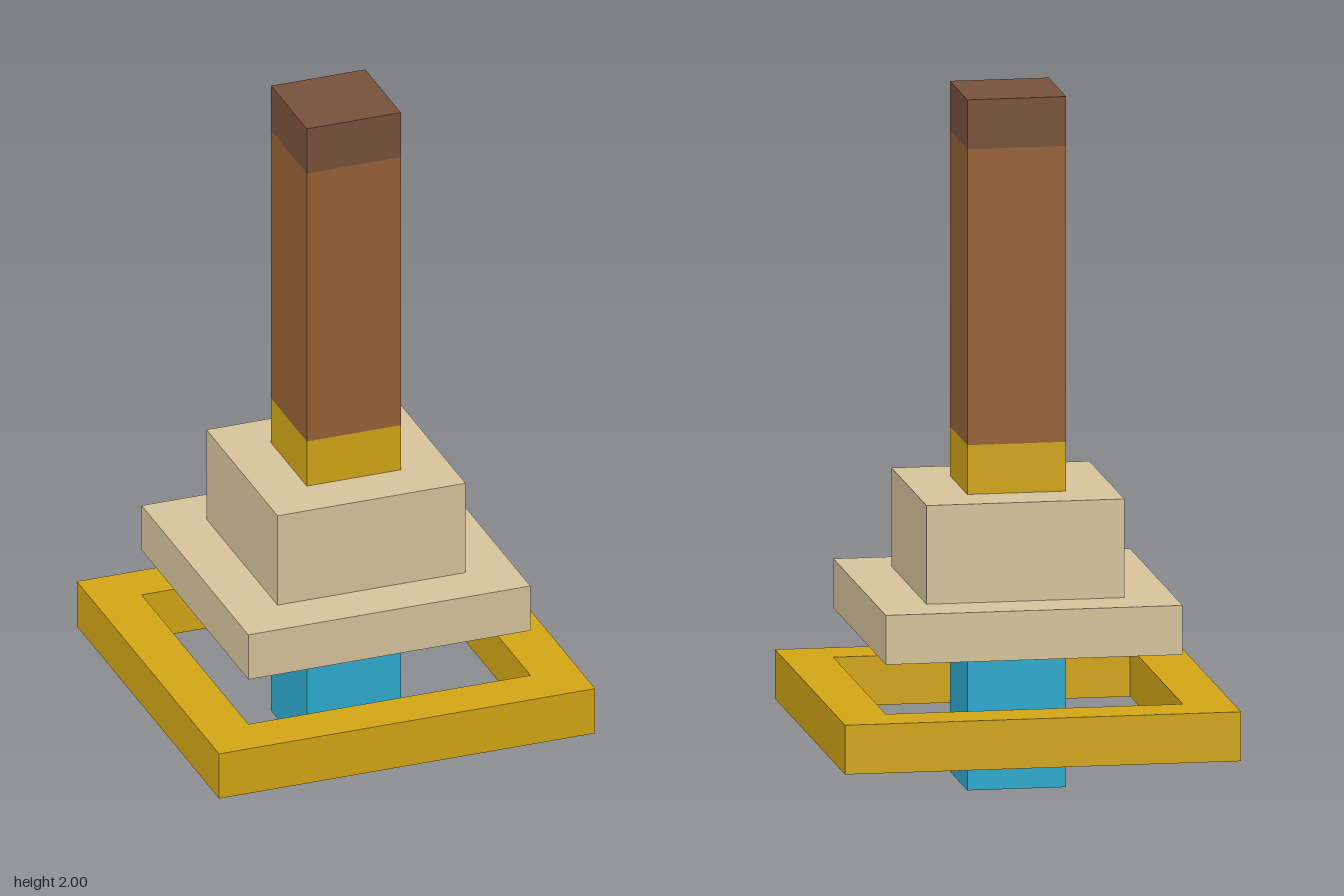
import * as THREE from 'three';

const U = 1 / 7; // block unit: the model is 14 units tall

function material(name, color) {
  const m = new THREE.MeshStandardMaterial({ color });
  m.name = name;
  return m;
}

export function createModel() {
  const group = new THREE.Group();
  group.name = 'torch';

  const gold = material('gold', 0xd5a817);
  const darkGold = material('darkGold', 0x8f6c17);
  const stone = material('paleStone', 0xd9c69e);
  const darkStone = material('greyStone', 0x908778);
  const blue = material('blue', 0x2eadd1);
  const darkBlue = material('darkBlue', 0x2a7090);
  const wood = material('brownWood', 0x996337);
  const darkWood = material('darkWood', 0x79533c);

  // Box in units, standing on "bottom", with its own colour underneath
  function block(name, [width, height, depth], [x, bottom, z], mat, under = mat) {
    const geometry = new THREE.BoxGeometry(width * U, height * U, depth * U);
    const mesh = new THREE.Mesh(geometry, [mat, mat, mat, under, mat, mat]);
    mesh.position.set(x * U, (bottom + height / 2) * U, z * U);
    mesh.name = name;
    group.add(mesh);
  }

  // Stacked column
  block('core', [2, 3, 2], [0, 0, 0], blue, darkBlue);
  block('lowerCollar', [6, 1, 6], [0, 3, 0], stone, darkStone);
  block('upperCollar', [4, 2, 4], [0, 4, 0], stone);
  block('ferrule', [2, 1, 2], [0, 6, 0], gold);
  block('handle', [2, 6, 2], [0, 7, 0], wood);
  block('handleCap', [2, 1, 2], [0, 13, 0], darkWood);

  // Open square frame floating around the core
  for (const side of [-1, 1]) {
    block('frameLongBar', [8, 1, 1], [0, 1, side * 3.5], gold, darkGold);
    block('frameShortBar', [1, 1, 6], [side * 3.5, 1, 0], gold, darkGold);
  }

  return group;
}
